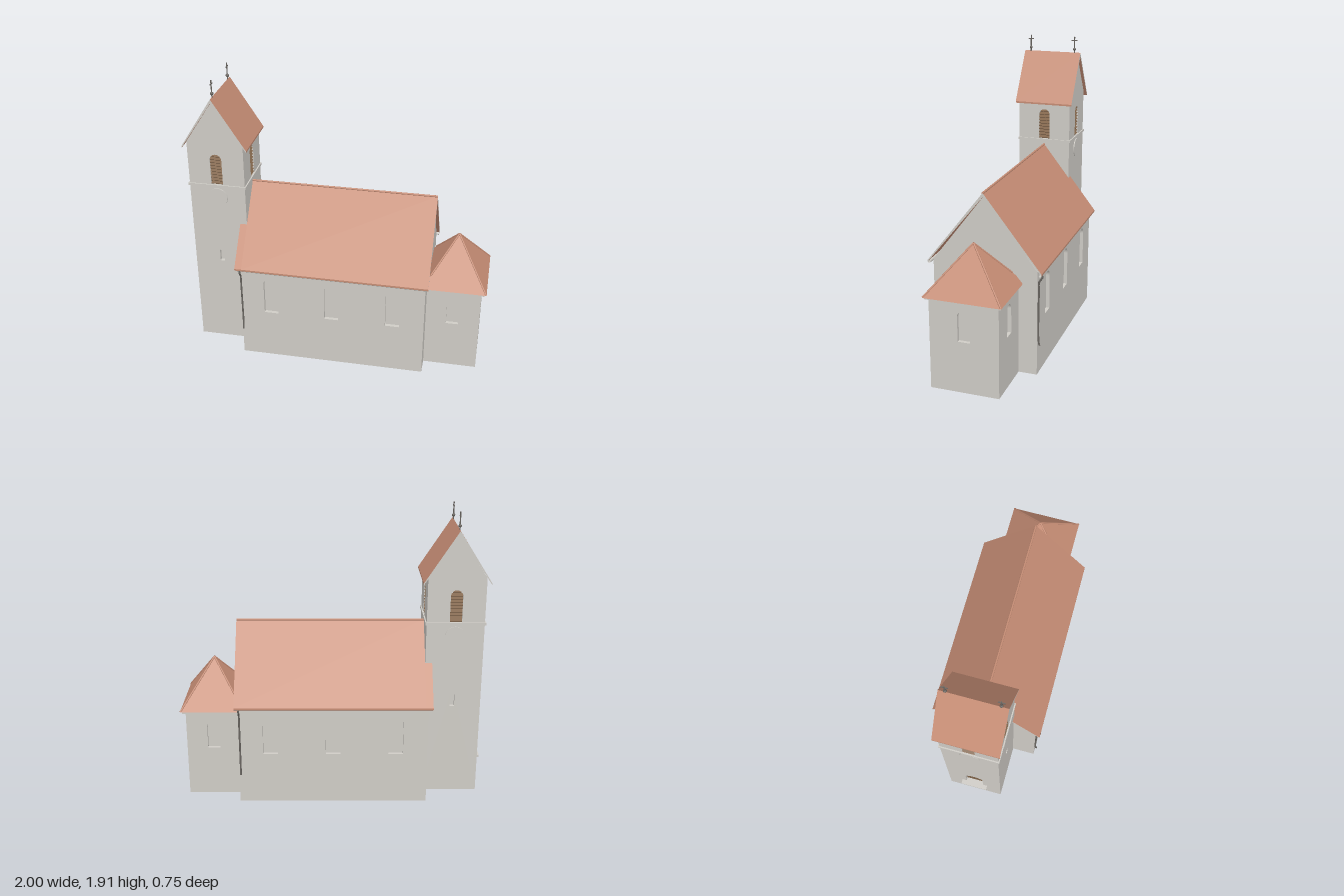
import * as THREE from 'three';

const mat = (name, color, side = THREE.DoubleSide) => {
  const m = new THREE.MeshStandardMaterial({ color, side });
  m.name = name;
  return m;
};

export function createModel() {
  const plaster = mat('plaster', 0xcfccc6);
  const tile = mat('roofTile', 0xc68d75);
  const wood = mat('wood', 0x80644a);
  const iron = mat('iron', 0x6a6661);
  const T = 0.025; // wall thickness

  const model = new THREE.Group();
  model.name = 'church';
  const add = (parent, name, geo, material, x = 0, y = 0, z = 0) => {
    const m = new THREE.Mesh(geo, material);
    m.name = name;
    m.position.set(x, y, z);
    parent.add(m);
    return m;
  };
  const group = (name, x = 0, y = 0, z = 0) => {
    const g = new THREE.Group();
    g.name = name;
    g.position.set(x, y, z);
    model.add(g);
    return g;
  };
  const poly = pts => new THREE.Shape(pts.map(p => new THREE.Vector2(p[0], p[1])));

  // round-headed opening: centre x, width, sill and crown heights
  const arch = ({ x = 0, w, y0, y1 }) => {
    const s = new THREE.Shape(), r = w / 2;
    s.moveTo(x - r, y0);
    s.lineTo(x + r, y0);
    s.lineTo(x + r, y1 - r);
    s.absarc(x, y1 - r, r, 0, Math.PI, false);
    s.lineTo(x - r, y0);
    return s;
  };

  // sloping slats of one belfry opening
  const louvres = (parent, o) => {
    const n = 10, r = o.w / 2, step = (o.y1 - o.y0) / n;
    for (let i = 0; i < n; i++) {
      const y = o.y0 + (i + 0.5) * step;
      const up = Math.max(0, y - (o.y1 - r));
      const half = Math.sqrt(r * r - up * up);
      const slat = add(parent, 'louvreSlat', new THREE.BoxGeometry(half * 2, 0.005, 0.024), wood, 0, y, -T / 2);
      slat.rotation.x = 0.6;
    }
  };

  // wall slab whose outer face lies at distance d from the block centre
  const wall = (parent, name, outline, openings, d, turn) => {
    const g = new THREE.Group();
    g.name = name;
    g.rotation.y = turn;
    const s = poly(outline);
    openings.forEach(o => s.holes.push(arch(o)));
    const geo = new THREE.ExtrudeGeometry(s, { depth: T, bevelEnabled: false, curveSegments: 10 });
    add(g, 'wallSlab', geo.translate(0, 0, -T), plaster);
    for (const o of openings) {
      if (o.louvre) louvres(g, o);
      else add(g, 'windowPane', new THREE.ShapeGeometry(arch(o), 10), o.pane || plaster, 0, 0, -T + 0.002);
    }
    g.position.set(Math.sin(turn) * d, 0, Math.cos(turn) * d);
    parent.add(g);
    return g;
  };
  const rect = (w, h) => [[-w, 0], [w, 0], [w, h], [-w, h]];
  const gable = (w, h, top) => [[-w, 0], [w, 0], [w, h], [0, top], [-w, h]];
  const FRONT = 0, BACK = Math.PI, LEFT = Math.PI / 2, RIGHT = -Math.PI / 2;

  // extruded roof section running along local z, with plaster verges
  const roofPiece = (parent, name, pts, from, to, turn = 0) => {
    const geo = new THREE.ExtrudeGeometry(poly(pts), { depth: to - from, bevelEnabled: false });
    const m = add(parent, name, geo.translate(0, 0, from), [plaster, tile]);
    m.rotation.y = turn;
    return m;
  };
  const chevron = (w, eave, top, t) => [[-w, eave], [-w, eave - 0.012], [0, top - t], [w, eave - 0.012], [w, eave], [0, top]];
  const rod = (parent, name, a, b, r, material) => {
    const path = new THREE.LineCurve3(new THREE.Vector3(...a), new THREE.Vector3(...b));
    add(parent, name, new THREE.TubeGeometry(path, 1, r, 8), material);
  };

  // ---- nave ----
  const nave = group('nave', -0.005);
  const naveWindows = [-0.4075, 0, 0.4075].map(x => ({ x, w: 0.096, y0: 0.345, y1: 0.615 }));
  for (const t of [FRONT, BACK]) wall(nave, 'naveSideWall', rect(0.615, 0.69), naveWindows, 0.34, t);
  for (const t of [LEFT, RIGHT]) wall(nave, 'naveGableWall', gable(0.34, 0.69, 1.135), [], 0.615, t);

  const naveRoof = group('naveRoof');
  roofPiece(naveRoof, 'naveRoofTiles', chevron(0.372, 0.685, 1.16, 0.026), -0.6, 0.63, LEFT);
  const slope = (1.16 - 0.685) / 0.372, yIn = 1.16 - 0.186 * slope;
  for (const s of [-1, 1]) {
    // roof strips flanking the tower
    roofPiece(naveRoof, 'roofStripBesideTower',
      [[s * 0.186, yIn], [s * 0.372, 0.685], [s * 0.372, 0.673], [s * 0.186, yIn - 0.022]], -0.645, -0.6, LEFT);
    rod(naveRoof, 'gutter', [-0.64, 0.675, s * 0.362], [0.628, 0.675, s * 0.362], 0.01, plaster);
    // downpipe with an elbow from the gutter to the wall
    const px = s > 0 ? -0.612 : 0.6;
    const bend = [[0.365, 0.675], [0.37, 0.655], [0.349, 0.625], [0.347, 0.55], [0.347, 0.23], [0.353, 0.2]];
    const path = new THREE.CatmullRomCurve3(bend.map(p => new THREE.Vector3(px, p[1], s * p[0])));
    add(naveRoof, 'downpipe', new THREE.TubeGeometry(path, 24, 0.006, 8), iron);
  }
  rod(naveRoof, 'naveRidge', [-0.6, 1.158, 0], [0.63, 1.158, 0], 0.007, tile);

  // ---- choir ----
  const choir = group('choir', 0.785);
  const choirWindow = [{ w: 0.08, y0: 0.335, y1: 0.535 }];
  for (const t of [FRONT, BACK]) wall(choir, 'choirSideWall', rect(0.177, 0.6), choirWindow, 0.22, t);
  wall(choir, 'choirEndWall', rect(0.22, 0.6), choirWindow, 0.177, LEFT);
  for (const s of [-1, 1]) add(choir, 'choirCornice', new THREE.BoxGeometry(0.37, 0.014, 0.02), plaster, 0.01, 0.595, s * 0.23);
  add(choir, 'choirCornice', new THREE.BoxGeometry(0.02, 0.014, 0.48), plaster, 0.187, 0.595, 0);

  const pyramid = new THREE.ConeGeometry(Math.SQRT2, 0.3, 4, 1, true).toNonIndexed();
  pyramid.rotateY(Math.PI / 4).scale(0.21, 1, 0.247).translate(0, 0.75, 0);
  pyramid.computeVertexNormals();
  add(choir, 'choirRoof', pyramid, tile);
  for (const s of [-1, 1]) {
    rod(choir, 'hipRidge', [0.207, 0.603, s * 0.244], [0, 0.899, 0], 0.006, tile);
    rod(choir, 'hipRidge', [-0.158, 0.674, s * 0.186], [0, 0.899, 0], 0.006, tile);
  }

  // ---- tower ----
  const tower = group('tower', -0.785);
  const belfry = { w: 0.078, y0: 1.2, y1: 1.412, louvre: true };
  const slit = { w: 0.03, y0: 0.62, y1: 0.71 };
  const door = { w: 0.12, y0: 0.21, y1: 0.43, pane: wood };
  const outline = gable(0.185, 1.49, 1.77);
  for (const t of [FRONT, BACK]) wall(tower, 'towerGableWall', outline, [belfry, slit], 0.185, t);
  wall(tower, 'towerInnerWall', rect(0.185, 1.49), [belfry], 0.185, LEFT);
  wall(tower, 'towerDoorWall', rect(0.185, 1.49), [belfry, door], 0.185, RIGHT);
  add(tower, 'doorSill', new THREE.BoxGeometry(0.035, 0.016, 0.18), plaster, -0.1975, 0.205, 0);

  for (const t of [FRONT, BACK, LEFT, RIGHT]) {
    const side = new THREE.Group();
    side.name = 'towerTrim';
    side.rotation.y = t;
    tower.add(side);
    add(side, 'stringCourse', new THREE.BoxGeometry(0.386, 0.016, 0.01), plaster, 0, 1.19, 0.188);
    if (t !== LEFT) {
      const disc = new THREE.CylinderGeometry(0.066, 0.066, 0.006, 32).rotateX(Math.PI / 2);
      add(side, 'clockDisc', disc, plaster, 0, 1.105, 0.188);
    }
  }
  roofPiece(tower, 'towerRoof', chevron(0.213, 1.463, 1.795, 0.026), -0.205, 0.205);

  // ---- finial crosses ----
  for (const s of [-1, 1]) {
    const cross = group('finialCross', -0.785, 0, s * 0.161);
    add(cross, 'crossStem', new THREE.CylinderGeometry(0.004, 0.004, 0.115, 8), iron, 0, 1.848, 0);
    add(cross, 'crossBall', new THREE.SphereGeometry(0.011, 12, 8), iron, 0, 1.818, 0);
    add(cross, 'crossBar', new THREE.BoxGeometry(0.006, 0.006, 0.042), iron, 0, 1.88, 0);
  }
  return model;
}
